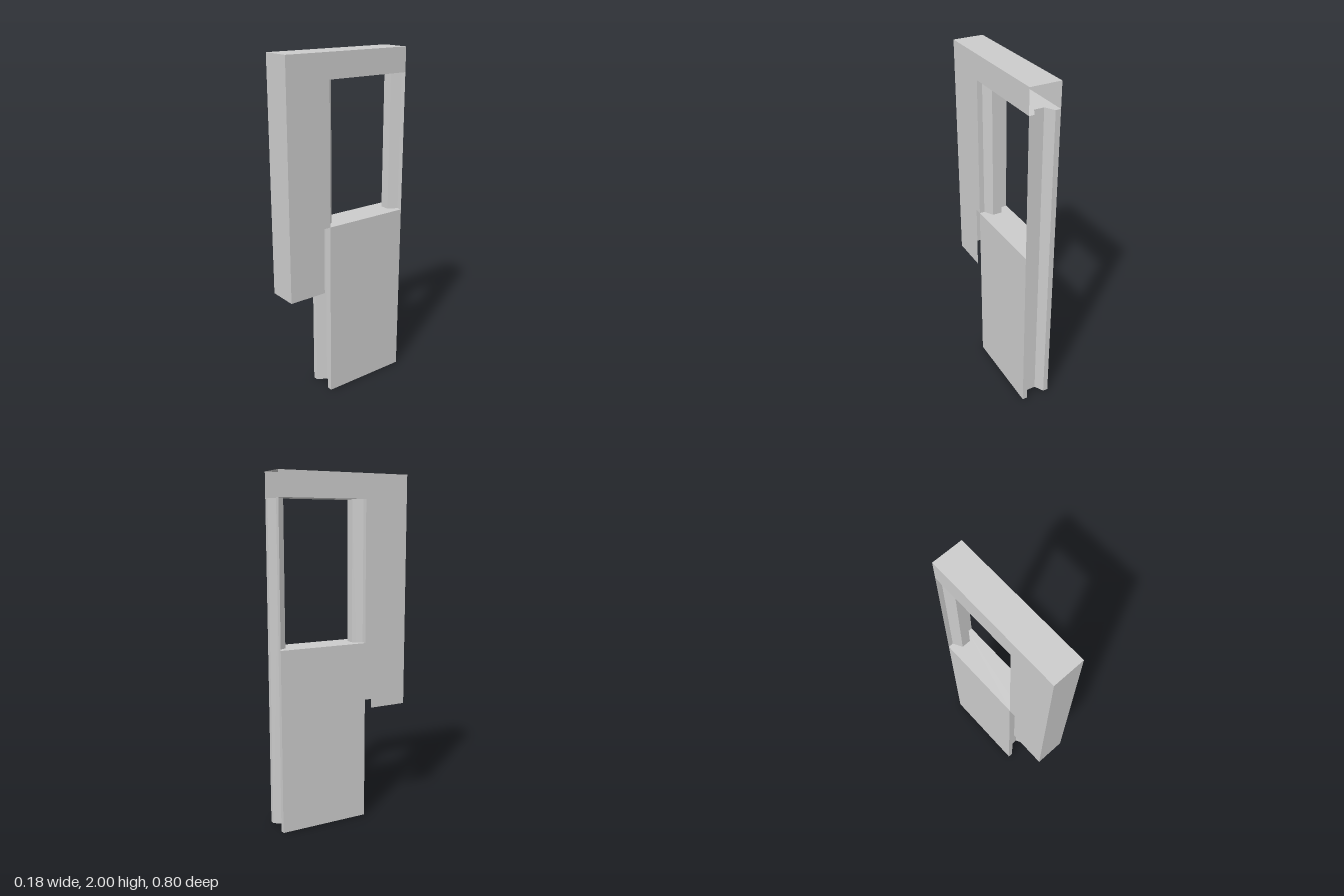
import * as THREE from 'three';

const W = 0.088;                    // half thickness
const FRONT = 0.4, BACK = -0.4, JAMB = 0.13;
const SILL = 1.05, HEAD = 1.86, TOP = 2;

const material = new THREE.MeshStandardMaterial({
  color: 0xcccccc, side: THREE.DoubleSide, flatShading: true,
});

// Folded channel across the thickness: [x, depth toward the window]
const channel = [[-W, 0], [-0.058, 0], [-0.028, 0.054], [0.028, 0.054], [0.058, 0], [W, 0]];
const frontChannel = channel.map(([x, d]) => [x, JAMB - d]);
const backChannel = channel.map(([x, d]) => [x, BACK + d]);

function add(group, name, geometry) {
  const mesh = new THREE.Mesh(geometry, material);
  mesh.name = name;
  group.add(mesh);
}

function flat(points) {
  return new THREE.ShapeGeometry(new THREE.Shape(points.map(([a, b]) => new THREE.Vector2(a, b))));
}

// Upright sheet from a [z, y] outline, on the left (+1) or right (-1) side
function sideSheet(outline, side) {
  return flat(outline.map(([z, y]) => [-side * z, y]))
    .rotateY(side * Math.PI / 2).translate(side * W, 0, 0);
}

// Level sheet from an [x, z] outline, facing up (+1) or down (-1)
function levelSheet(outline, y, facing) {
  return flat(outline.map(([x, z]) => [x, -facing * z]))
    .rotateX(-facing * Math.PI / 2).translate(0, y, 0);
}

// Upright folded strip that follows an [x, z] line
function foldedStrip(line, y0, y1) {
  const pos = [];
  for (let i = 0; i < line.length - 1; i++) {
    const [ax, az] = line[i], [bx, bz] = line[i + 1];
    pos.push(ax, y0, az, bx, y0, bz, bx, y1, bz, ax, y0, az, bx, y1, bz, ax, y1, az);
  }
  const g = new THREE.BufferGeometry();
  g.setAttribute('position', new THREE.Float32BufferAttribute(pos, 3));
  g.computeVertexNormals();
  return g;
}

export function createModel() {
  const model = new THREE.Group();
  model.name = 'windowPanel';

  // Upper cover: L-shaped sides, front and top, open below and behind
  const cover = new THREE.Group();
  cover.name = 'upperCover';
  const coverOutline = [
    [FRONT, 0.66], [FRONT, TOP], [BACK, TOP], [BACK, HEAD],
    [JAMB, HEAD], [JAMB, SILL], [0.172, SILL], [0.172, 0.66],
  ];
  // Lower panel sides
  const panel = new THREE.Group();
  panel.name = 'lowerPanel';
  const panelOutline = [[JAMB, 0], [JAMB, SILL], [BACK, SILL], [BACK, 0]];
  for (const [side, label] of [[1, 'left'], [-1, 'right']]) {
    add(cover, label + 'CoverSide', sideSheet(coverOutline, side));
    add(panel, label + 'PanelSide', sideSheet(panelOutline, side));
  }
  add(cover, 'coverFront', foldedStrip([[-W, FRONT], [W, FRONT]], 0.66, TOP));
  add(cover, 'coverTop', levelSheet([[-W, BACK], [W, BACK], [W, FRONT], [-W, FRONT]], TOP, 1));

  // Window frame: sill and head run between two channelled jambs
  const frame = new THREE.Group();
  frame.name = 'windowFrame';
  const opening = [...frontChannel, ...[...backChannel].reverse()];
  add(frame, 'sill', levelSheet(opening, SILL, 1));
  add(frame, 'head', levelSheet(opening, HEAD, -1));
  add(frame, 'frontJamb', foldedStrip(frontChannel, 0, HEAD));
  add(frame, 'backJamb', foldedStrip([...backChannel].reverse(), 0, HEAD));

  model.add(cover, panel, frame);
  return model;
}
